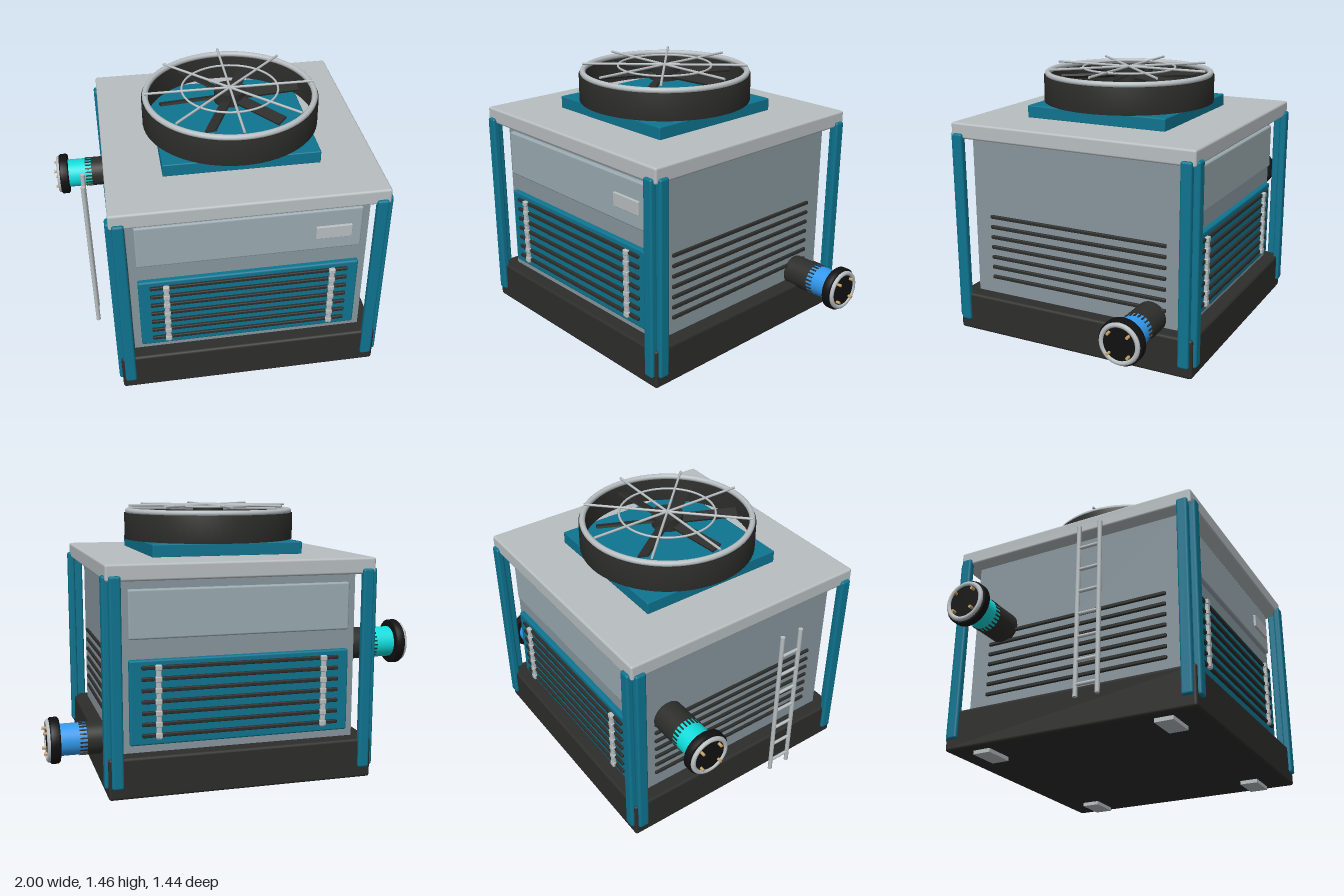
import * as THREE from 'three';
import { RoundedBoxGeometry } from 'three/addons/geometries/RoundedBoxGeometry.js';

const mat = (color) => new THREE.MeshStandardMaterial({ color });
const M = {
  teal: mat(0x0e7490), dark: mat(0x2d2d2b), black: mat(0x111111), body: mat(0x87969d),
  panel: mat(0x9aaab0), metal: mat(0xb8bec1), blue: mat(0x3399ee), cyan: mat(0x11dddd), brass: mat(0xc8a468),
};
M.shroud = mat(0x2d2d2b);
M.shroud.side = THREE.DoubleSide;

function add(parent, name, geometry, material, x = 0, y = 0, z = 0) {
  const mesh = new THREE.Mesh(geometry, material);
  mesh.name = name;
  mesh.position.set(x, y, z);
  parent.add(mesh);
  return mesh;
}
function group(parent, name) {
  const g = new THREE.Group();
  g.name = name;
  parent.add(g);
  return g;
}
const box = (w, h, d) => new THREE.BoxGeometry(w, h, d);
const soft = (w, h, d, r = 0.01) => new RoundedBoxGeometry(w, h, d, 2, r);
const rod = (r, length, sides = 12) => new THREE.CylinderGeometry(r, r, length, sides);

const slotHeights = Array.from({ length: 7 }, (_, i) => 0.33 + i * 0.058);

// Horizontal dark slots on a face that looks along +z
function addSlots(parent, z) {
  for (const y of slotHeights) add(parent, 'louverSlot', soft(1.05, 0.02, 0.024, 0.005), M.dark, 0, y, z);
}

// Front or back face: upper panel, louver panel, slots and tie bars
function addLouverFace(parent, name, hasPlate) {
  const g = group(parent, name);
  add(g, 'upperPanel', soft(1.17, 0.25, 0.05), M.panel, 0, 0.944, 0.625);
  add(g, 'louverPanel', soft(1.17, 0.438, 0.05), M.teal, 0, 0.497, 0.628);
  addSlots(g, 0.655);
  for (const x of [-0.44, 0.44]) {
    add(g, 'tieBar', soft(0.026, 0.38, 0.02, 0.006), M.metal, x, 0.5, 0.668);
    for (const y of slotHeights) add(g, 'tieClip', soft(0.034, 0.03, 0.024, 0.006), M.metal, x, y, 0.668);
  }
  if (hasPlate) add(g, 'ratingPlate', soft(0.19, 0.075, 0.016, 0.004), M.metal, 0.435, 0.935, 0.655);
  return g;
}

// Pipe stub pointing along +y, starting at the cabinet wall
function addPipe(parent, name, material) {
  const g = group(parent, name);
  add(g, 'collar', rod(0.086, 0.17, 32), M.dark, 0, 0.695, 0);
  add(g, 'pipe', rod(0.083, 0.17, 32), material, 0, 0.85, 0);
  for (let i = 0; i < 24; i++) {
    const a = (i / 24) * Math.PI * 2;
    const rib = add(g, 'collarRib', box(0.008, 0.04, 0.008), M.dark, 0.083 * Math.cos(a), 0.797, 0.083 * Math.sin(a));
    rib.rotation.y = -a;
  }
  const edge = [[0, 0.917], [0.112, 0.917], [0.12, 0.925], [0.12, 0.96], [0.112, 0.968], [0, 0.968]];
  const flange = new THREE.LatheGeometry(edge.map(([r, y]) => new THREE.Vector2(r, y)), 40);
  add(g, 'flange', flange, M.black);
  add(g, 'flangeRing', new THREE.TorusGeometry(0.098, 0.013, 10, 40), M.metal, 0, 0.972, 0).rotation.x = Math.PI / 2;
  add(g, 'opening', rod(0.086, 0.012, 32), M.black, 0, 0.971, 0);
  for (const x of [-0.053, 0.053]) for (const z of [-0.053, 0.053]) {
    add(g, 'bolt', rod(0.008, 0.035), M.brass, x, 0.982, z);
  }
  return g;
}

function addFan(parent) {
  const g = group(parent, 'fan');
  add(g, 'fanPlinth', soft(0.82, 0.07, 0.82, 0.006), M.teal, 0, 1.232, 0);
  // Hollow shroud
  const wall = [[0.455, 1.267], [0.473, 1.267], [0.473, 1.411], [0.455, 1.411], [0.455, 1.267]];
  add(g, 'shroud', new THREE.LatheGeometry(wall.map(([r, y]) => new THREE.Vector2(r, y)), 64), M.shroud);
  add(g, 'shroudRing', new THREE.TorusGeometry(0.452, 0.016, 10, 64), M.metal, 0, 1.421, 0).rotation.x = Math.PI / 2;
  // Hub and six pitched blades
  add(g, 'hub', rod(0.085, 0.07, 24), M.dark, 0, 1.412, 0);
  for (let i = 0; i < 6; i++) {
    const arm = group(g, 'bladeArm');
    arm.rotation.y = THREE.MathUtils.degToRad(6 + i * 60);
    add(arm, 'blade', box(0.32, 0.012, 0.06), M.dark, 0.22, 1.405, 0).rotation.x = 0.35;
  }
  // Guard: inner ring and crossing wires
  add(g, 'guardRing', new THREE.TorusGeometry(0.257, 0.006, 8, 48), M.metal, 0, 1.449, 0).rotation.x = Math.PI / 2;
  for (let i = 0; i < 4; i++) {
    const wire = add(g, 'guardWire', rod(0.007, 0.91, 8), M.metal, 0, 1.452, 0);
    wire.rotation.set(Math.PI / 2, 0, (i * Math.PI) / 4);
  }
}

export function createModel() {
  const model = new THREE.Group();
  model.name = 'coolingUnit';

  // Cabinet
  add(model, 'base', soft(1.41, 0.215, 1.41, 0.015), M.dark, 0, 0.128, 0);
  add(model, 'body', box(1.25, 0.92, 1.25), M.body, 0, 0.68, 0);
  add(model, 'roof', soft(1.41, 0.085, 1.41, 0.012), M.metal, 0, 1.158, 0);

  // Feet and corner posts, each post made of two strips
  for (const sx of [-1, 1]) for (const sz of [-1, 1]) {
    add(model, 'foot', box(0.17, 0.03, 0.1), M.metal, sx * 0.565, 0.015, sz * 0.512);
    const post = group(model, 'cornerPost');
    add(post, 'faceStrip', soft(0.06, 1.064, 0.04, 0.012), M.teal, sx * 0.66, 0.612, sz * 0.702);
    add(post, 'sideStrip', soft(0.04, 1.064, 0.06, 0.012), M.teal, sx * 0.702, 0.612, sz * 0.66);
  }

  // Faces
  addLouverFace(model, 'frontFace', true);
  addLouverFace(model, 'backFace', false).rotation.y = Math.PI;
  for (const s of [-1, 1]) {
    const side = group(model, 'sideLouvers');
    addSlots(side, 0.625);
    side.rotation.y = (s * Math.PI) / 2;
  }

  addFan(model);

  // Pipes
  const outlet = addPipe(model, 'leftPipe', M.blue);
  outlet.position.set(0, 0.28, -0.441);
  outlet.rotation.z = -Math.PI / 2;
  const inlet = addPipe(model, 'rightPipe', M.cyan);
  inlet.position.set(0, 0.703, -0.441);
  inlet.rotation.z = Math.PI / 2;

  // Ladder on the right side
  const ladder = group(model, 'ladder');
  for (const z of [0.132, 0.252]) add(ladder, 'rail', rod(0.012, 0.942), M.metal, -0.817, 0.599, z);
  for (let i = 0; i < 7; i++) {
    add(ladder, 'rung', rod(0.009, 0.12), M.metal, -0.817, 0.19 + i * 0.125, 0.192).rotation.x = Math.PI / 2;
  }
  return model;
}
